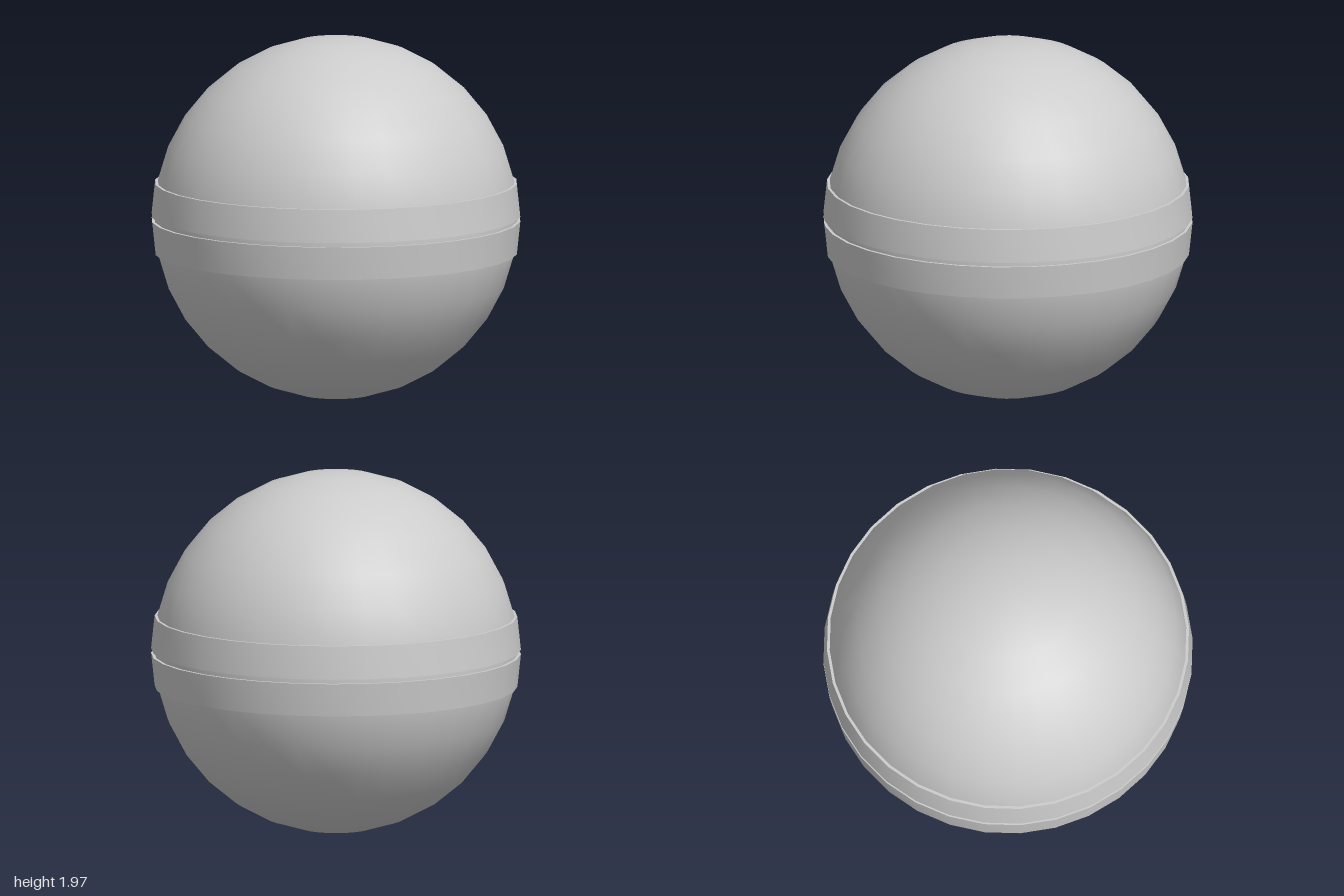
import * as THREE from 'three';
import { toCreasedNormals } from 'three/addons/utils/BufferGeometryUtils.js';

const RADIUS = 0.985; // sphere radius, also the height of its centre
const SEGMENTS = 32;

export function createModel() {
  const group = new THREE.Group();
  const material = new THREE.MeshStandardMaterial({ color: 0xcccccc });

  function add(name, geometry) {
    const mesh = new THREE.Mesh(geometry, material);
    mesh.name = name;
    mesh.position.y = RADIUS;
    group.add(mesh);
  }

  // Smooth ball
  add('ball', new THREE.SphereGeometry(RADIUS, SEGMENTS, 16));

  // Two tapered bands either side of a narrow groove at the equator
  const near = 0.0125, far = 0.192;
  const section = [[0.975, near], [1, near], [0.981, far], [0.955, far], [0.975, near]];
  function band(side) {
    const points = section.map(([r, y]) => new THREE.Vector2(r, y * side));
    if (side < 0) points.reverse(); // keeps the faces outward
    return toCreasedNormals(new THREE.LatheGeometry(points, SEGMENTS), 0.5);
  }
  add('upperBand', band(1));
  add('lowerBand', band(-1));

  return group;
}
